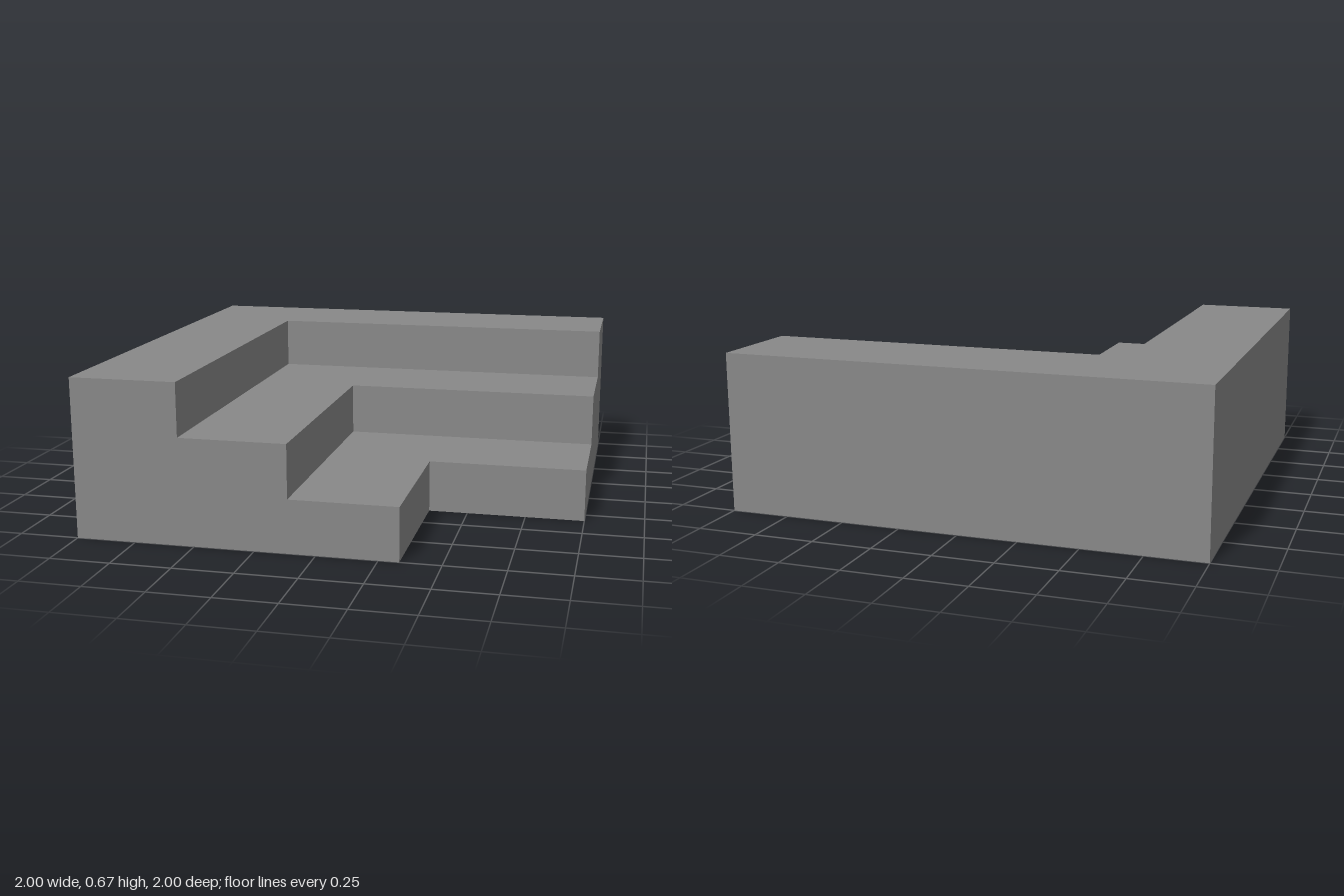
import * as THREE from 'three';

const STEPS = 3, RISE = 2 / 9, TREAD = 4 / 9;

export function createModel() {
  // Stair profile (u = across the treads, y = up), counter-clockwise
  const profile = [new THREE.Vector2(-1, 0)];
  for (let i = 0; i < STEPS; i++) {
    const u = 1 / 3 - i * TREAD;
    profile.push(new THREE.Vector2(u, i * RISE), new THREE.Vector2(u, (i + 1) * RISE));
  }
  profile.push(new THREE.Vector2(-1, STEPS * RISE));

  // Cross-sections: front end, mitred corner, left end
  const sections = [
    profile.map(p => [p.x, p.y, 1]),
    profile.map(p => [p.x, p.y, p.x]),
    profile.map(p => [1, p.y, p.x]),
  ];

  const positions = [];
  const triangle = (a, b, c) => positions.push(...a, ...b, ...c);

  // Treads, risers, back walls and underside
  for (let s = 0; s < sections.length - 1; s++) {
    const near = sections[s], far = sections[s + 1];
    for (let i = 0; i < profile.length; i++) {
      const j = (i + 1) % profile.length;
      triangle(near[i], far[i], far[j]);
      triangle(near[i], far[j], near[j]);
    }
  }

  // Stepped end faces
  const [front, , left] = sections;
  for (const [a, b, c] of THREE.ShapeUtils.triangulateShape(profile, [])) {
    triangle(front[a], front[b], front[c]);
    triangle(left[c], left[b], left[a]);
  }

  const geometry = new THREE.BufferGeometry();
  geometry.setAttribute('position', new THREE.Float32BufferAttribute(positions, 3));
  geometry.computeVertexNormals();

  const stairs = new THREE.Mesh(
    geometry,
    new THREE.MeshStandardMaterial({ color: 0x888888, flatShading: true })
  );
  stairs.name = 'innerCornerStairs';

  const group = new THREE.Group();
  group.name = 'cornerStairs';
  group.add(stairs);
  return group;
}
